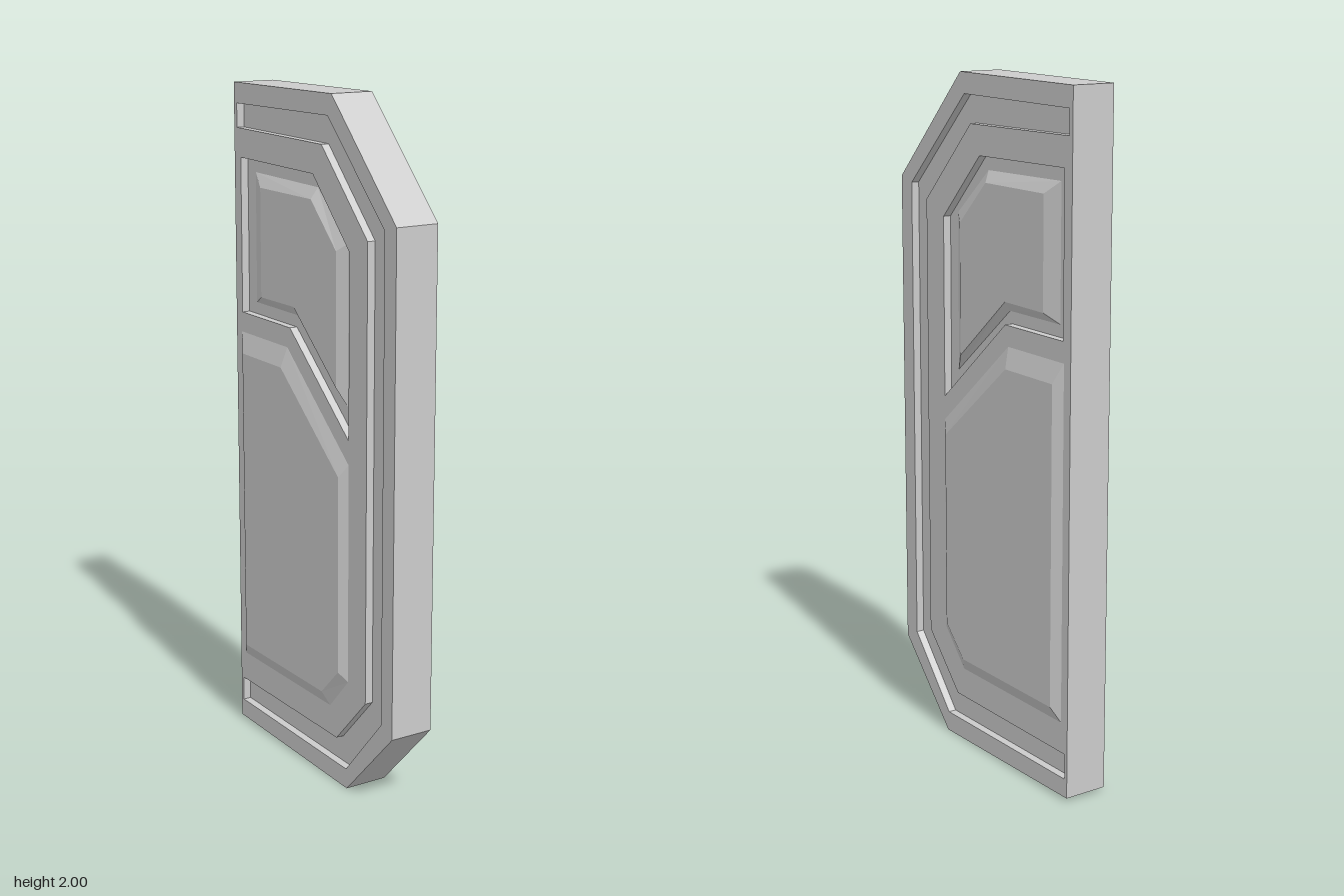
import * as THREE from 'three';
import { mergeGeometries } from 'three/addons/utils/BufferGeometryUtils.js';

// Outlines are [z, y], counter-clockwise as seen from +x.
const OUTLINE = [[0.19, 0], [-0.42, 0.01], [-0.42, 1.995], [0.105, 2], [0.42, 1.68], [0.42, 0.24]];
const GROOVE = [
  [0.185, 0.06], [-0.408, 0.065], [-0.408, 0.14], [0.135, 0.14], [0.285, 0.3], [0.285, 1.625],
  [0.055, 1.86], [-0.405, 1.865], [-0.405, 1.935], [0.085, 1.94], [0.365, 1.665], [0.365, 0.265],
];
const RECESS = [[0.195, 1.055], [-0.115, 1.32], [-0.385, 1.32], [-0.385, 1.78], [0.01, 1.775], [0.195, 1.585]];
const UPPER_BASE = [[0.155, 1.14], [-0.105, 1.355], [-0.34, 1.355], [-0.34, 1.74], [0, 1.735], [0.155, 1.6]];
const UPPER_TOP = [[0.12, 1.19], [-0.105, 1.382], [-0.285, 1.38], [-0.285, 1.702], [-0.01, 1.702], [0.12, 1.575]];
const LOWER_BASE = [[0.1, 0.23], [-0.39, 0.23], [-0.39, 1.26], [-0.13, 1.26], [0.195, 0.985], [0.195, 0.335]];
const LOWER_TOP = [[0.08, 0.27], [-0.36, 0.27], [-0.36, 1.2], [-0.14, 1.2], [0.168, 0.945], [0.168, 0.36]];

const FACE = 0.066; // half thickness
const FLOOR = 0.042; // bottom of the groove and of the recess
const UPPER = 0.06; // top of the upper panel
const LOWER = 0.083; // top of the lower panel

const toPoints = (ring) => ring.map(([z, y]) => new THREE.Vector2(-z, y));

// Flat face at height x, looking towards +x
function cap(ring, x, holes = []) {
  const shape = new THREE.Shape(toPoints(ring));
  shape.holes = holes.map((h) => new THREE.Path(toPoints(h)));
  const geo = new THREE.ShapeGeometry(shape).toNonIndexed();
  geo.deleteAttribute('uv');
  return geo.rotateY(Math.PI / 2).translate(x, 0, 0);
}

// Strip of quads joining two rings; outward when xb > xa, inward when xb < xa
function band(a, xa, b, xb) {
  const pos = [];
  a.forEach((_, i) => {
    const j = (i + 1) % a.length;
    const [p, q, r, s] = [[xa, a[i]], [xa, a[j]], [xb, b[j]], [xb, b[i]]];
    for (const [x, [z, y]] of [p, q, r, p, r, s]) pos.push(x, y, z);
  });
  const geo = new THREE.BufferGeometry();
  geo.setAttribute('position', new THREE.Float32BufferAttribute(pos, 3));
  geo.computeVertexNormals();
  return geo;
}

// Mirror across x = 0 and turn the triangles round again
function mirrored(geo) {
  const out = geo.clone();
  const p = out.attributes.position;
  for (let i = 0; i < p.count; i += 3) {
    [0, 2, 1].forEach((k, n) => {
      const src = geo.attributes.position;
      p.setXYZ(i + n, -src.getX(i + k), src.getY(i + k), src.getZ(i + k));
    });
  }
  out.computeVertexNormals();
  return out;
}

export function createModel() {
  const model = new THREE.Group();
  model.name = 'doorPanel';
  const material = new THREE.MeshStandardMaterial({ color: 0xcccccc, flatShading: true });
  const add = (parent, name, geo) => {
    const mesh = new THREE.Mesh(geo, material);
    mesh.name = name;
    parent.add(mesh);
  };

  // Outer rim through the full thickness
  add(model, 'rim', band(OUTLINE, -FACE, OUTLINE, FACE));

  // Parts of one face
  const parts = {
    facePlate: [cap(OUTLINE, FACE, [GROOVE, RECESS, LOWER_BASE])],
    borderGroove: [band(GROOVE, FACE, GROOVE, FLOOR), cap(GROOVE, FLOOR)],
    upperRecess: [band(RECESS, FACE, RECESS, FLOOR), cap(RECESS, FLOOR, [UPPER_BASE])],
    upperPanel: [band(UPPER_BASE, FLOOR, UPPER_TOP, UPPER), cap(UPPER_TOP, UPPER)],
    lowerPanel: [band(LOWER_BASE, FACE, LOWER_TOP, LOWER), cap(LOWER_TOP, LOWER)],
  };

  // The same face on both sides
  const left = new THREE.Group();
  const right = new THREE.Group();
  left.name = 'leftFace';
  right.name = 'rightFace';
  model.add(left, right);
  for (const [name, pieces] of Object.entries(parts)) {
    const geo = mergeGeometries(pieces);
    add(left, name, geo);
    add(right, name, mirrored(geo));
  }
  return model;
}
